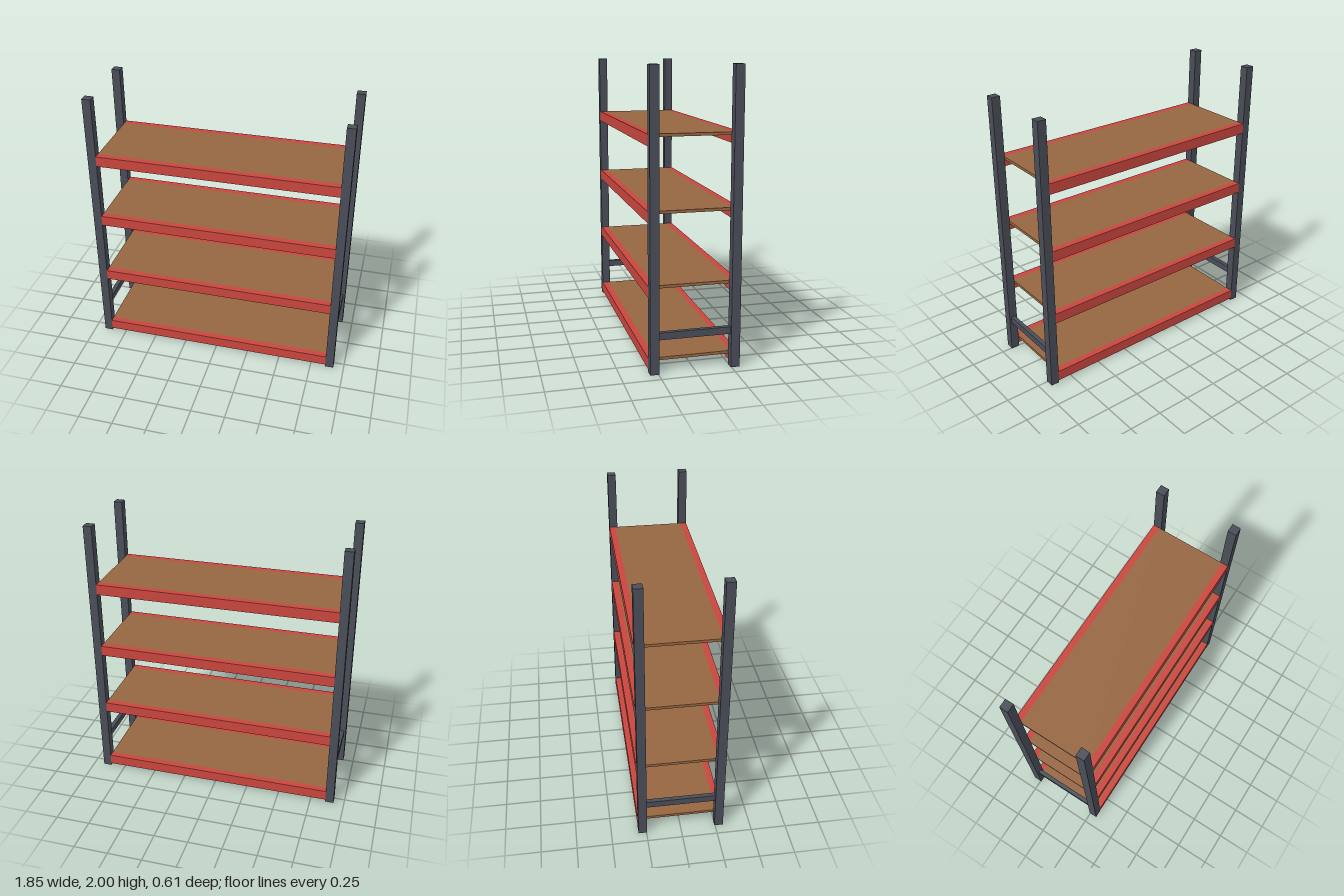
import * as THREE from 'three';

export function createModel() {
  const steel = new THREE.MeshStandardMaterial({ name: 'dark steel', color: 0x4a4e58 });
  const red = new THREE.MeshStandardMaterial({ name: 'red paint', color: 0xc9463e });
  const wood = new THREE.MeshStandardMaterial({ name: 'brown board', color: 0x966642 });

  const model = new THREE.Group();
  model.name = 'storageRack';

  const box = (name, material, size, position) => {
    const mesh = new THREE.Mesh(new THREE.BoxGeometry(...size), material);
    mesh.name = name;
    mesh.position.set(...position);
    model.add(mesh);
  };

  const post = 0.062, postX = 0.892, postZ = 0.276;
  const innerX = postX - post / 2, outerZ = postZ + post / 2;

  // Four corner posts and a low brace joining each end pair
  for (const [side, sx] of [['left', 1], ['right', -1]]) {
    for (const [end, sz] of [['Front', 1], ['Back', -1]]) {
      box(`${side}${end}Post`, steel, [post, 2, post], [sx * postX, 1, sz * postZ]);
    }
    box(`${side}Brace`, steel, [0.031, 0.049, 2 * (postZ - post / 2)], [sx * postX, 0.255, 0]);
  }

  // Four shelves: front and back beams with a thin deck flush with their tops
  const beamHeight = 0.076, beamDepth = 0.046, deckThickness = 0.02;
  for (let i = 0; i < 4; i++) {
    const top = 0.094 + i * 0.492;
    for (const [end, sz] of [['front', 1], ['back', -1]]) {
      box(`${end}Beam${i + 1}`, red, [2 * innerX, beamHeight, beamDepth],
        [0, top - beamHeight / 2, sz * (outerZ - beamDepth / 2)]);
    }
    box(`shelfDeck${i + 1}`, wood, [2 * innerX, deckThickness, 2 * (outerZ - beamDepth)],
      [0, top - deckThickness / 2, 0]);
  }

  return model;
}
